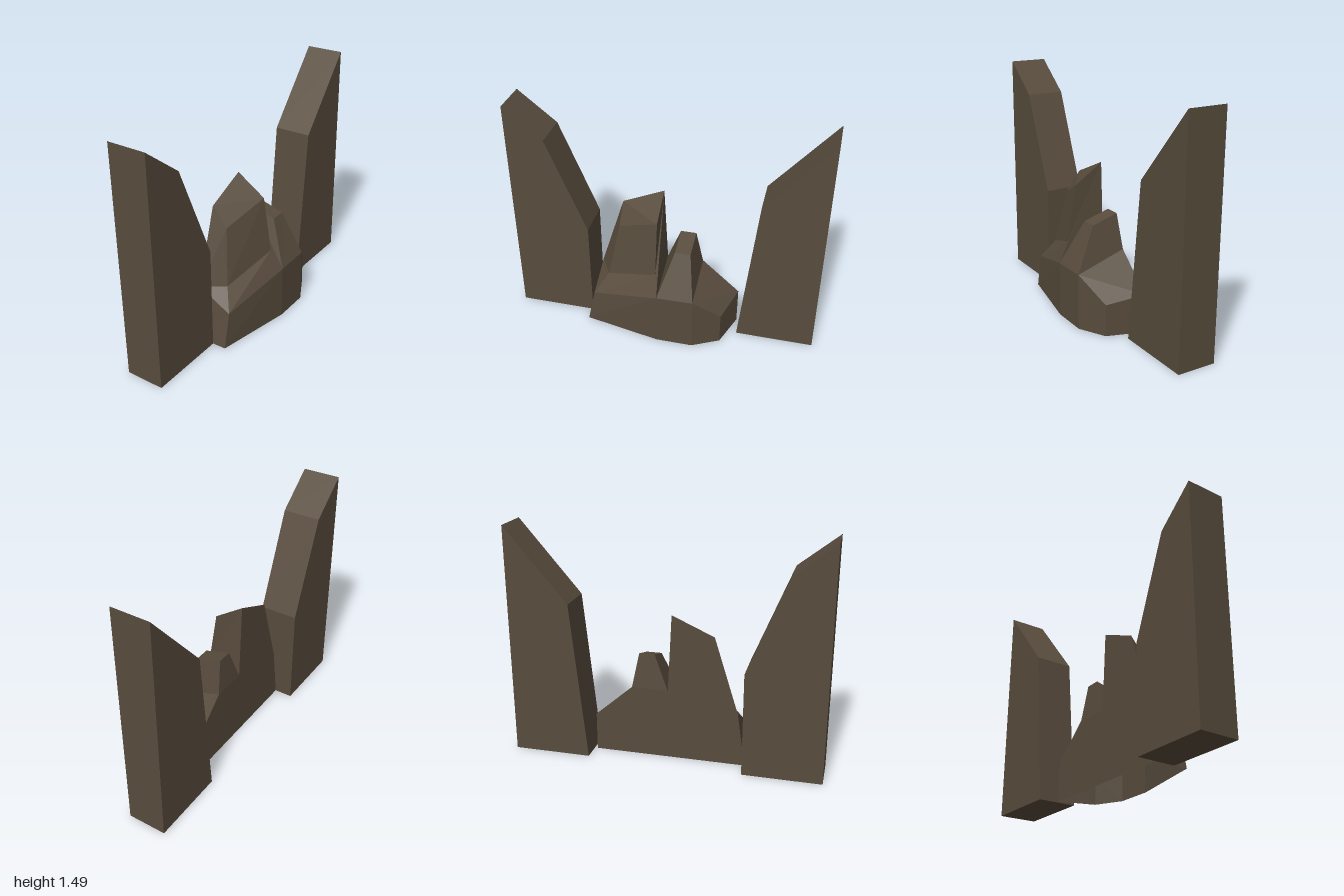
import * as THREE from 'three';

const stone = new THREE.MeshStandardMaterial({ color: 0x574b3c, side: THREE.DoubleSide, flatShading: true });
stone.name = 'dark brown stone';

// Slab with a side outline of [z, y] points, running along x
function slab(name, outline) {
  const shape = new THREE.Shape(outline.map(([z, y]) => new THREE.Vector2(z, y)));
  const g = new THREE.ExtrudeGeometry(shape, { depth: 0.25, bevelEnabled: false });
  g.rotateY(-Math.PI / 2).translate(0.03, 0, 0);
  const mesh = new THREE.Mesh(g, stone);
  mesh.name = name;
  return mesh;
}

// Faceted part: each face is a fan of corner points
function facets(name, faces) {
  const pos = [];
  for (const f of faces)
    for (let i = 1; i < f.length - 1; i++) pos.push(...f[0], ...f[i], ...f[i + 1]);
  const g = new THREE.BufferGeometry();
  g.setAttribute('position', new THREE.Float32BufferAttribute(pos, 3));
  g.computeVertexNormals();
  const mesh = new THREE.Mesh(g, stone);
  mesh.name = name;
  return mesh;
}

export function createModel() {
  const model = new THREE.Group();
  model.name = 'brokenWall';

  // Standing wall pieces at both ends
  model.add(slab('frontWall', [[0.5, 0], [1, 0], [1, 1.49], [0.75, 1.29], [0.5, 0.67]]));
  model.add(slab('backWall', [[-1, 0], [-0.5, 0], [-0.6, 1.02], [-1, 1.49]]));

  // Ground corners of the rubble
  const W = -0.1;
  const g0 = [W, 0, 0.5], g1 = [0.12, 0, 0.5], g2 = [0.22, 0, 0], g3 = [0.22, 0, -0.235],
    g4 = [0.13, 0, -0.405], g5 = [W, 0, -0.48], gm = [W, 0, 0], gt = [W, 0, -0.235];
  // Shoulder corners, outer side then flat side
  const s1 = [0.12, 0.23, 0.45], s2 = [0.22, 0.355, 0], s3 = [0.22, 0.36, -0.235], s4 = [0.13, 0.205, -0.405];
  const w1 = [W, 0.35, 0.45], w2 = [W, 0.46, 0], w3 = [W, 0.465, -0.235], w4 = [W, 0.25, -0.48];
  // Tall fin corners
  const a = [0.05, 0.36, 0.365], b = [0.145, 0.48, 0.025], c = [0.09, 0.837, 0.025], d = [0, 0.72, 0.295],
    e = [W, 0.845, 0.295], f = [W, 0.965, 0.025];
  // Short stump corners
  const t1 = [-0.08, 0.69, -0.09], t2 = [0.09, 0.64, -0.09], t3 = [0.09, 0.64, -0.19], t4 = [-0.08, 0.69, -0.19];

  const rubble = new THREE.Group();
  rubble.name = 'rubble';
  // Base is open underneath
  rubble.add(facets('rubbleBase', [
    [g0, g1, s1, w1], [g1, g2, s2, s1], [g2, g3, s3, s2], [g3, g4, s4, s3], [g4, g5, w4, s4],
    [s3, s4, w4, w3],
    [gm, g0, w1, w2], [gt, gm, w2, w3], [g5, gt, w3, w4],
  ]));
  rubble.add(facets('tallFin', [
    [w1, s1, a, d, e], [s1, s2, b, a], [a, b, c, d], [e, d, c, f],
    [f, c, b, s2, w2], [w2, w1, e, f],
  ]));
  rubble.add(facets('shortStump', [
    [w2, t1, t2, s2], [s2, s3, t3, t2], [s3, w3, t4, t3], [w3, w2, t1, t4], [t1, t2, t3, t4],
  ]));
  model.add(rubble);
  return model;
}
